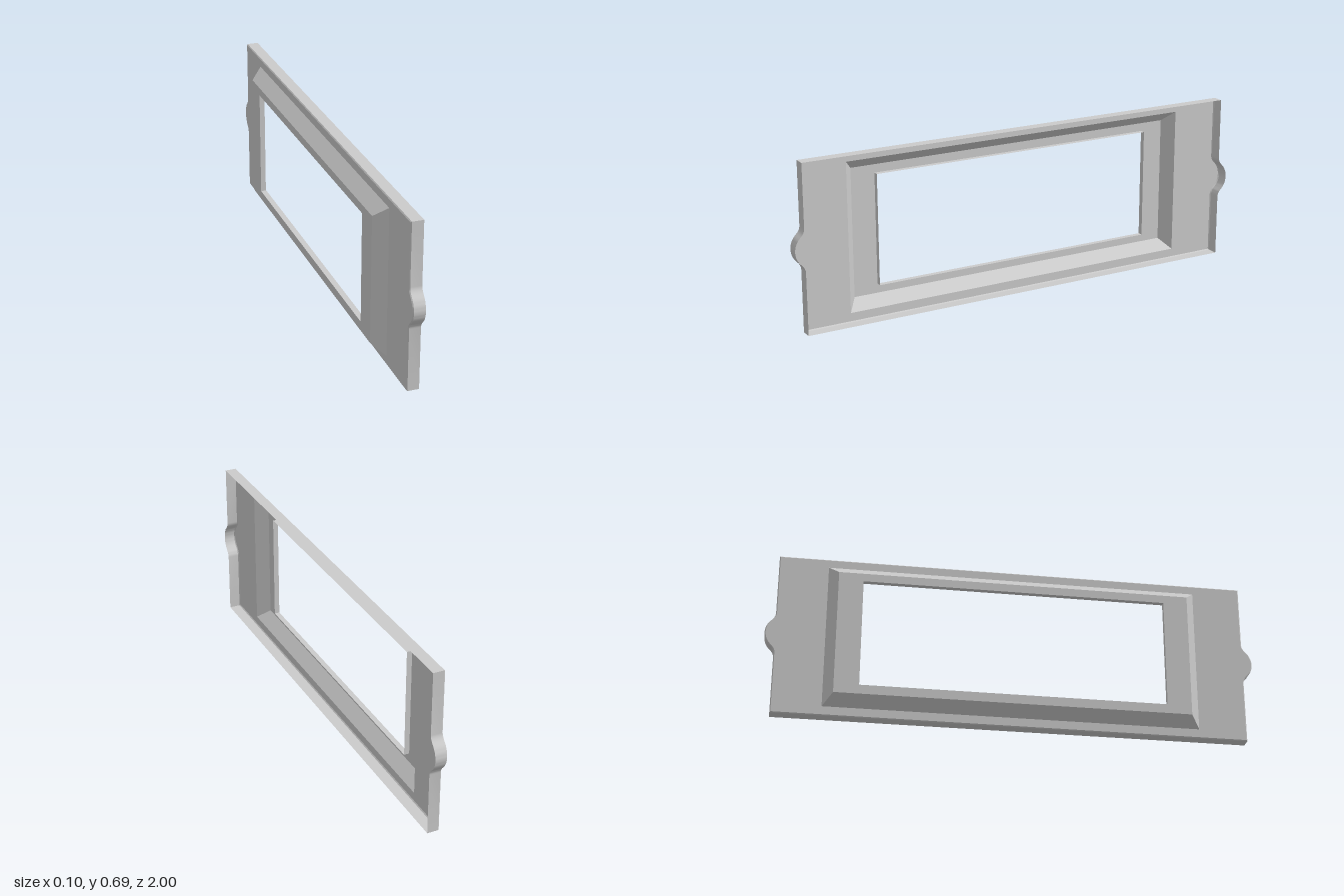
import * as THREE from 'three';
import { toCreasedNormals } from 'three/addons/utils/BufferGeometryUtils.js';

const H = 0.686, MID = H / 2;

// Rectangle as a counter-clockwise ring of points
const rect = (w, y0, y1) => [[-w, y0], [w, y0], [w, y1], [-w, y1]].map(([u, y]) => new THREE.Vector2(u, y));

// Plate outline with a filleted round tab on each short end
function outline(inset) {
  const w = 0.96, half = [];
  half.push(new THREE.Vector2(w, 0));
  const foot = new THREE.Vector2(0.976, -0.055);
  const fillet = new THREE.QuadraticBezierCurve(
    new THREE.Vector2(w, -0.085), new THREE.Vector2(0.961, -0.07), foot);
  const lower = fillet.getPoints(5);
  const a = Math.atan2(0.055, 0.051);
  const arc = [];
  for (let i = 1; i < 16; i++) {
    const t = -a + (2 * a * i) / 16;
    arc.push(new THREE.Vector2(0.925 + 0.075 * Math.cos(t), 0.075 * Math.sin(t)));
  }
  const upper = lower.map(p => new THREE.Vector2(p.x, -p.y)).reverse();
  for (const p of [...lower, ...arc, ...upper]) half.push(new THREE.Vector2(p.x, p.y + MID));
  half.push(new THREE.Vector2(w, H));
  // the other end is the same half turned by 180 degrees
  const ring = [...half, ...half.map(p => new THREE.Vector2(-p.x, H - p.y))];
  const su = 1 - inset / w, sy = 1 - inset / MID;
  return ring.map(p => new THREE.Vector2(p.x * su, MID + (p.y - MID) * sy));
}

// Wall joining closed rings of equal length, each at its own depth
function wall(rings) {
  const pos = [], idx = [], n = rings[0].pts.length;
  for (const { pts, d } of rings) for (const p of pts) pos.push(p.x, p.y, d);
  for (let r = 0; r < rings.length - 1; r++) {
    for (let i = 0; i < n; i++) {
      const j = (i + 1) % n, a = r * n + i, b = r * n + j;
      idx.push(a, b, b + n, a, b + n, a + n);
    }
  }
  const g = new THREE.BufferGeometry();
  g.setAttribute('position', new THREE.Float32BufferAttribute(pos, 3));
  g.setIndex(idx);
  return toCreasedNormals(g, 0.5);
}

// Flat sheet with one opening
function sheet(outer, inner, d) {
  const s = new THREE.Shape(outer);
  s.holes.push(new THREE.Path(inner));
  return new THREE.ShapeGeometry(s).translate(0, 0, d);
}

export function createModel() {
  const group = new THREE.Group();
  group.name = 'displayBezel';
  const material = new THREE.MeshStandardMaterial({ color: 0xcccccc, side: THREE.DoubleSide });
  const add = (name, geometry) => {
    const mesh = new THREE.Mesh(geometry.rotateY(Math.PI / 2), material);
    mesh.name = name;
    group.add(mesh);
  };

  const edge = outline(0), plateEdge = outline(0.004);
  const frameBase = rect(0.76, 0.038, 0.649);
  const frameTop = rect(0.72, 0.08, 0.607);
  const windowEdge = rect(0.62, 0.118, 0.573);

  // Outer rim with a small bevel where it meets the plate
  add('rim', wall([{ pts: plateEdge, d: 0 }, { pts: edge, d: 0.004 }, { pts: edge, d: 0.05 }]));
  add('plate', sheet(plateEdge, frameBase, 0));

  // Raised hollow frame around the window
  add('frameSlope', wall([{ pts: frameTop, d: -0.05 }, { pts: frameBase, d: 0 }]));
  add('frameFace', sheet(frameTop, windowEdge, -0.05));
  add('windowLip', wall([{ pts: windowEdge, d: -0.05 }, { pts: windowEdge, d: -0.028 }]));

  return group;
}
